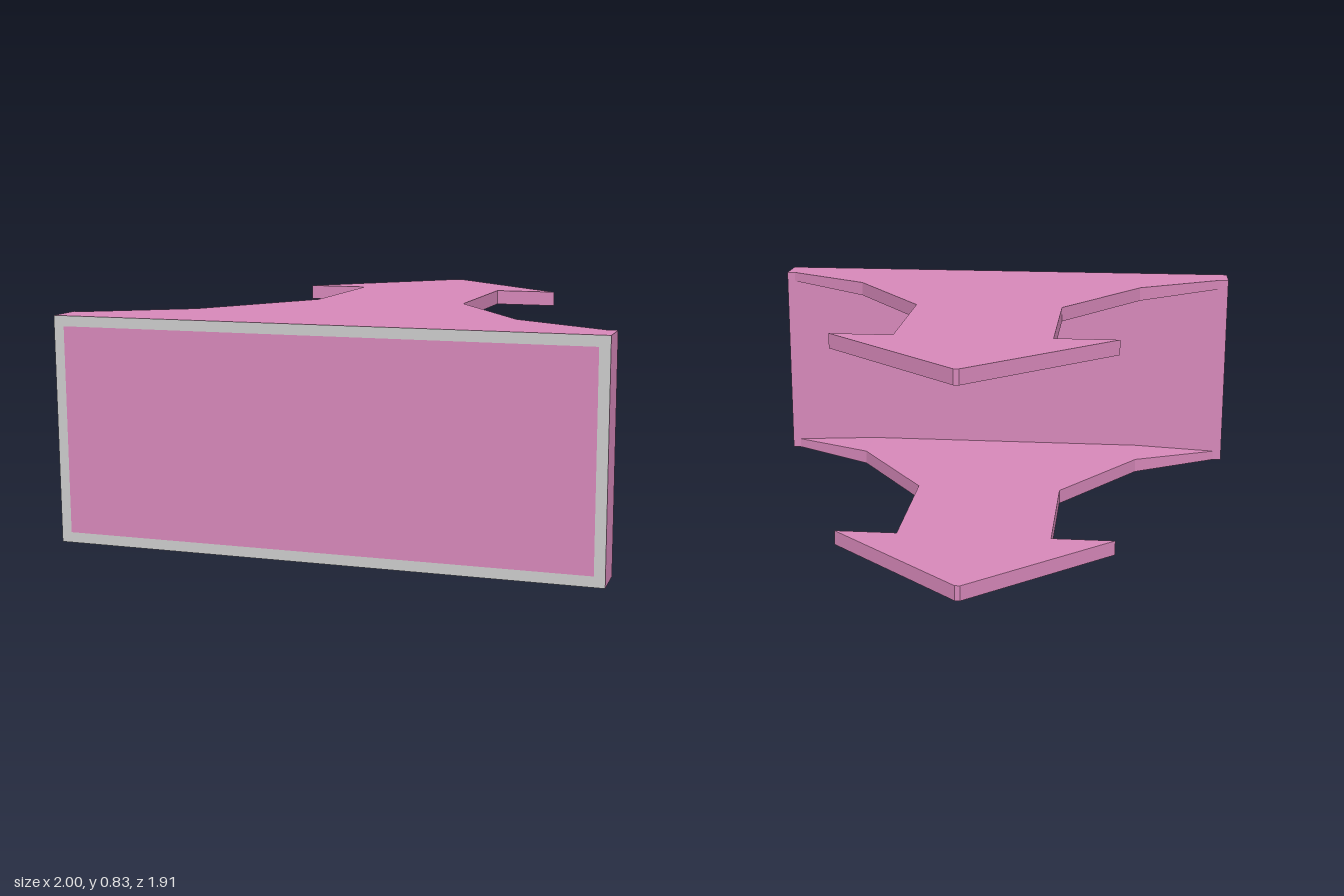
import * as THREE from 'three';

const W = 1, H = 0.835, BACK = 0.81, FRONT = 0.953, THICK = 0.057, RIM = 0.038;

const pink = new THREE.MeshStandardMaterial({ color: 0xd688b9, flatShading: true });
const grey = new THREE.MeshStandardMaterial({ color: 0xcccccc, flatShading: true });

function addMesh(parent, name, geometry, material) {
  const mesh = new THREE.Mesh(geometry, material);
  mesh.name = name;
  parent.add(mesh);
  return mesh;
}

// Extrudes a plan outline (x, z) downwards from y = 0
function slab(points) {
  const shape = new THREE.Shape(points.map(([x, z]) => new THREE.Vector2(x, z)));
  return new THREE.ExtrudeGeometry(shape, { depth: THICK, bevelEnabled: false });
}

// Flat arrow-headed prong with a thinning gusset on each side at its root
function createProng(name) {
  const prong = new THREE.Group();
  prong.name = name;
  const half = [[0.61, BACK], [0.61, 0.59], [0.297, 0.12], [0.297, -0.455], [0.54, -0.455], [0.01, -0.957]];
  const mirrored = half.map(([x, z]) => [-x, z]).reverse();
  addMesh(prong, 'arrowBlade', slab([...half, ...mirrored]).rotateX(Math.PI / 2), pink);

  for (const s of [1, -1]) {
    const g = slab([[s * 0.61, BACK], [s * 0.61, 0.59], [s * 0.965, BACK]]);
    const p = g.attributes.position;
    // the outer tip is thinner on the inner face
    for (let i = 0; i < p.count; i++) {
      if (Math.abs(p.getX(i)) > 0.9 && p.getZ(i) > 0.01) p.setZ(i, 0.04);
    }
    g.rotateX(Math.PI / 2);
    g.computeVertexNormals();
    addMesh(prong, s > 0 ? 'leftGusset' : 'rightGusset', g, pink);
  }
  return prong;
}

export function createModel() {
  const model = new THREE.Group();
  model.name = 'clip';

  // Face plate
  const plate = addMesh(model, 'facePlate', new THREE.BoxGeometry(2 * W, H, FRONT - BACK), pink);
  plate.position.set(0, H / 2, (FRONT + BACK) / 2);

  // Grey border flush with the front of the plate
  const rect = (Type, x, y) => new Type([[-x, -y], [x, -y], [x, y], [-x, y]].map(([a, b]) => new THREE.Vector2(a, b)));
  const border = rect(THREE.Shape, W, H / 2);
  border.holes.push(rect(THREE.Path, W - RIM, H / 2 - RIM));
  addMesh(model, 'frontBorder', new THREE.ShapeGeometry(border), grey).position.set(0, H / 2, FRONT + 0.002);

  // Upper prong, and the same prong turned over for the lower one
  const upper = createProng('upperProng');
  upper.position.y = H;
  const lower = createProng('lowerProng');
  lower.rotation.z = Math.PI;
  model.add(upper, lower);

  return model;
}
